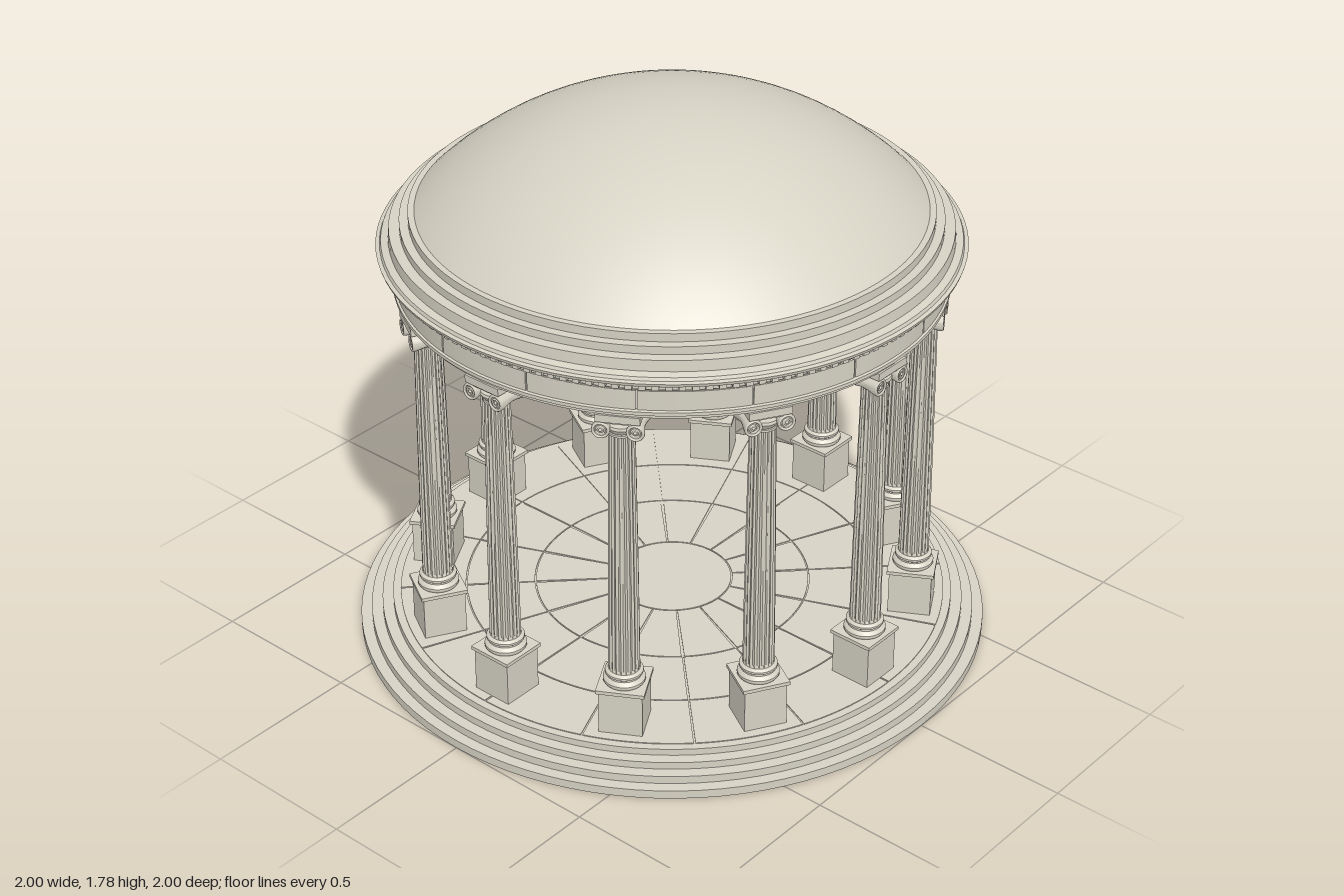
import * as THREE from 'three';
import { mergeGeometries, toCreasedNormals } from 'three/addons/utils/BufferGeometryUtils.js';

const stone = new THREE.MeshStandardMaterial({ color: 0xd6d2c4 });
stone.name = 'pale stone';

function part(name, geometry, parent, x = 0, y = 0, z = 0) {
  const mesh = new THREE.Mesh(geometry, stone);
  mesh.name = name;
  mesh.position.set(x, y, z);
  parent.add(mesh);
  return mesh;
}

// Turned stone with sharp steps; points are [radius, height]
function turned(points, segments) {
  const lathe = new THREE.LatheGeometry(points.map(([r, y]) => new THREE.Vector2(r, y)), segments);
  return toCreasedNormals(lathe, 0.6);
}

// Flat-topped ring sector lying on the floor plane
function ringSector(inner, outer, a0, a1, height) {
  const shape = new THREE.Shape();
  shape.absarc(0, 0, outer, a0, a1, false);
  shape.absarc(0, 0, inner, a1, a0, true);
  return new THREE.ExtrudeGeometry(shape, { depth: height, bevelEnabled: false, curveSegments: 6 })
    .rotateX(-Math.PI / 2);
}

// Tapered shaft with concave flutes
function flutedShaft(bottom, top, height, flutes) {
  const g = new THREE.CylinderGeometry(1, 1, height, flutes * 4, 4, true);
  const p = g.attributes.position;
  for (let i = 0; i < p.count; i++) {
    const x = p.getX(i), y = p.getY(i), z = p.getZ(i);
    const t = y / height + 0.5;
    const groove = 1 - 0.09 * Math.abs(Math.sin(Math.atan2(z, x) * flutes / 2));
    const r = (bottom + (top - bottom) * Math.pow(t, 1.3)) * groove;
    p.setXYZ(i, x * r, y, z * r);
  }
  return toCreasedNormals(g, 0.5);
}

function createColumn() {
  const column = new THREE.Group();

  // Pedestal
  part('pedestalBlock', new THREE.BoxGeometry(0.134, 0.15, 0.134), column, 0, 0.175, 0);
  part('pedestalCap', new THREE.BoxGeometry(0.148, 0.012, 0.148), column, 0, 0.252, 0);

  // Moulded base
  part('columnBase', turned([
    [0.06, 0.258], [0.064, 0.264], [0.064, 0.272], [0.059, 0.279], [0.053, 0.283],
    [0.053, 0.288], [0.058, 0.292], [0.058, 0.299], [0.054, 0.304], [0.048, 0.306], [0.046, 0.315],
  ], 32), column);

  part('shaft', flutedShaft(0.048, 0.039, 0.83, 20), column, 0, 0.72, 0);

  // Capital
  part('echinus', turned([
    [0.036, 1.125], [0.042, 1.128], [0.042, 1.135], [0.039, 1.137],
    [0.046, 1.145], [0.051, 1.155], [0.049, 1.164], [0, 1.166],
  ], 32), column);
  const bolster = new THREE.LatheGeometry([
    [0, -0.058], [0.027, -0.058], [0.027, -0.05], [0.021, -0.02], [0.019, 0],
    [0.021, 0.02], [0.027, 0.05], [0.027, 0.058], [0, 0.058],
  ].map(([r, y]) => new THREE.Vector2(r, y)), 20).rotateX(Math.PI / 2);
  const creased = toCreasedNormals(bolster, 0.6);
  const rim = new THREE.TorusGeometry(0.0225, 0.0045, 6, 20);
  const coil = new THREE.TorusGeometry(0.012, 0.003, 6, 16);
  const eye = new THREE.SphereGeometry(0.005, 8, 6);
  for (const side of [-1, 1]) {
    const x = side * 0.05;
    part('volute', creased, column, x, 1.16, 0);
    for (const z of [-0.058, 0.058]) {
      part('voluteRim', rim, column, x, 1.16, z);
      part('voluteCoil', coil, column, x, 1.16, z);
      part('voluteEye', eye, column, x, 1.16, z);
    }
  }
  part('voluteBand', new THREE.BoxGeometry(0.1, 0.008, 0.116), column, 0, 1.187, 0);
  part('abacus', new THREE.BoxGeometry(0.13, 0.024, 0.126), column, 0, 1.201, 0);
  return column;
}

export function createModel() {
  const model = new THREE.Group();
  model.name = 'rotunda';

  // Stepped round platform
  part('platform', turned([
    [0, 0], [1, 0], [1, 0.028], [0.965, 0.028], [0.965, 0.054],
    [0.93, 0.054], [0.93, 0.078], [0.895, 0.078], [0.895, 0.1], [0, 0.1],
  ], 96), model);

  // Paving slabs with narrow joints around a central disc
  const slabs = [];
  const step = Math.PI / 8;
  for (const [inner, outer] of [[0.194, 0.437], [0.441, 0.658], [0.662, 0.87]]) {
    const gap = 0.002 / inner;
    for (let i = 0; i < 16; i++) {
      slabs.push(ringSector(inner, outer, i * step + gap, (i + 1) * step - gap, 0.003));
    }
  }
  part('paving', mergeGeometries(slabs), model, 0, 0.1, 0);
  part('centreDisc', new THREE.CylinderGeometry(0.19, 0.19, 0.003, 48), model, 0, 0.1015, 0);

  // Twelve columns in a ring, faces turned outward
  const column = createColumn();
  for (let i = 0; i < 12; i++) {
    const a = i * Math.PI / 6;
    const c = column.clone();
    c.name = 'column';
    c.position.set(Math.sin(a) * 0.772, 0, Math.cos(a) * 0.772);
    c.rotation.y = a;
    model.add(c);
  }

  // Entablature: soffit, architrave, frieze, cornice, roof steps and inner wall
  part('entablature', turned([
    [0.69, 1.212], [0.83, 1.212], [0.83, 1.227], [0.843, 1.227], [0.843, 1.238],
    [0.832, 1.242], [0.832, 1.305], [0.842, 1.312], [0.842, 1.338], [0.87, 1.34],
    [0.885, 1.347], [0.888, 1.357], [0.876, 1.36], [0.872, 1.37], [0.85, 1.376],
    [0.847, 1.41], [0.815, 1.41], [0.815, 1.435], [0.788, 1.435], [0.788, 1.461],
    [0.7, 1.461], [0.69, 1.45], [0.69, 1.212],
  ], 96), model);

  // Frieze blocks
  const blocks = [];
  for (let i = 0; i < 16; i++) {
    const a = (i - 0.5) * step;
    blocks.push(ringSector(0.83, 0.837, a + 0.003, a + step - 0.003, 0.062));
  }
  part('friezeBlocks', mergeGeometries(blocks), model, 0, 1.242, 0);

  // Dentils under the cornice
  const dentils = [];
  for (let i = 0; i < 144; i++) {
    dentils.push(new THREE.BoxGeometry(0.02, 0.017, 0.022)
      .translate(0, 1.33, 0.852).rotateY(i * Math.PI / 72));
  }
  part('dentils', mergeGeometries(dentils), model);

  // Outer dome
  part('dome', new THREE.SphereGeometry(1.086, 96, 20, 0, Math.PI * 2, 0, Math.asin(0.77 / 1.086)),
    model, 0, 0.694, 0);

  // Faceted inner dome, facing down into the room
  const ceiling = [];
  const span = Math.asin(0.69 / 0.966);
  for (let i = 0; i <= 6; i++) {
    const t = span * i / 6;
    ceiling.push([Math.sin(t) * 0.966, 0.774 + Math.cos(t) * 0.966]);
  }
  const inner = new THREE.LatheGeometry(ceiling.map(([r, y]) => new THREE.Vector2(r, y)), 24);
  part('ceiling', toCreasedNormals(inner, 0.05), model);

  return model;
}
